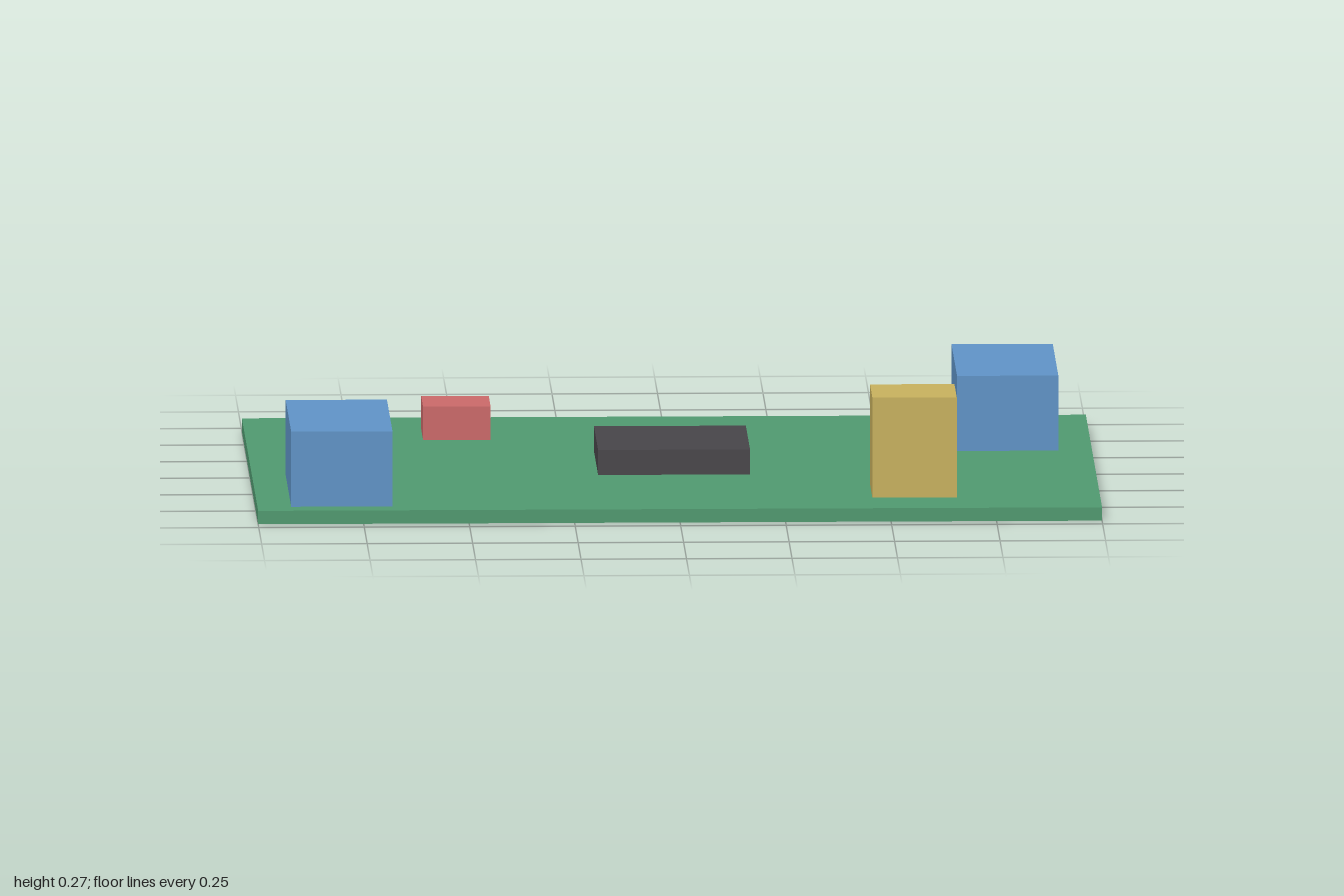
import * as THREE from 'three';

const BOARD_HEIGHT = 0.032;

// A block standing at height y, centred on (x, z)
function block(name, color, [w, h, d], [x, y, z]) {
  const mesh = new THREE.Mesh(
    new THREE.BoxGeometry(w, h, d),
    new THREE.MeshStandardMaterial({ color })
  );
  mesh.name = name;
  mesh.position.set(x, y + h / 2, z);
  return mesh;
}

export function createModel() {
  const group = new THREE.Group();
  group.name = 'circuitBoard';

  // Base plate
  group.add(block('board', 0x509a70, [2, BOARD_HEIGHT, 1.4], [0, 0, 0]));

  // Central chip
  group.add(block('chip', 0x48464a, [0.36, 0.06, 0.36], [0, BOARD_HEIGHT, 0]));

  // Connectors at two opposite corners
  for (const side of [1, -1]) {
    const name = side > 0 ? 'leftConnector' : 'rightConnector';
    group.add(block(name, 0x6094c8, [0.24, 0.18, 0.48], [0.8 * side, BOARD_HEIGHT, -0.4 * side]));
  }

  // Tall capacitor and small component
  group.add(block('capacitor', 0xc9b25e, [0.2, 0.24, 0.2], [0.56, BOARD_HEIGHT, 0.44]));
  group.add(block('smallComponent', 0xcc6a6a, [0.16, 0.08, 0.16], [-0.5, BOARD_HEIGHT, -0.44]));

  return group;
}
